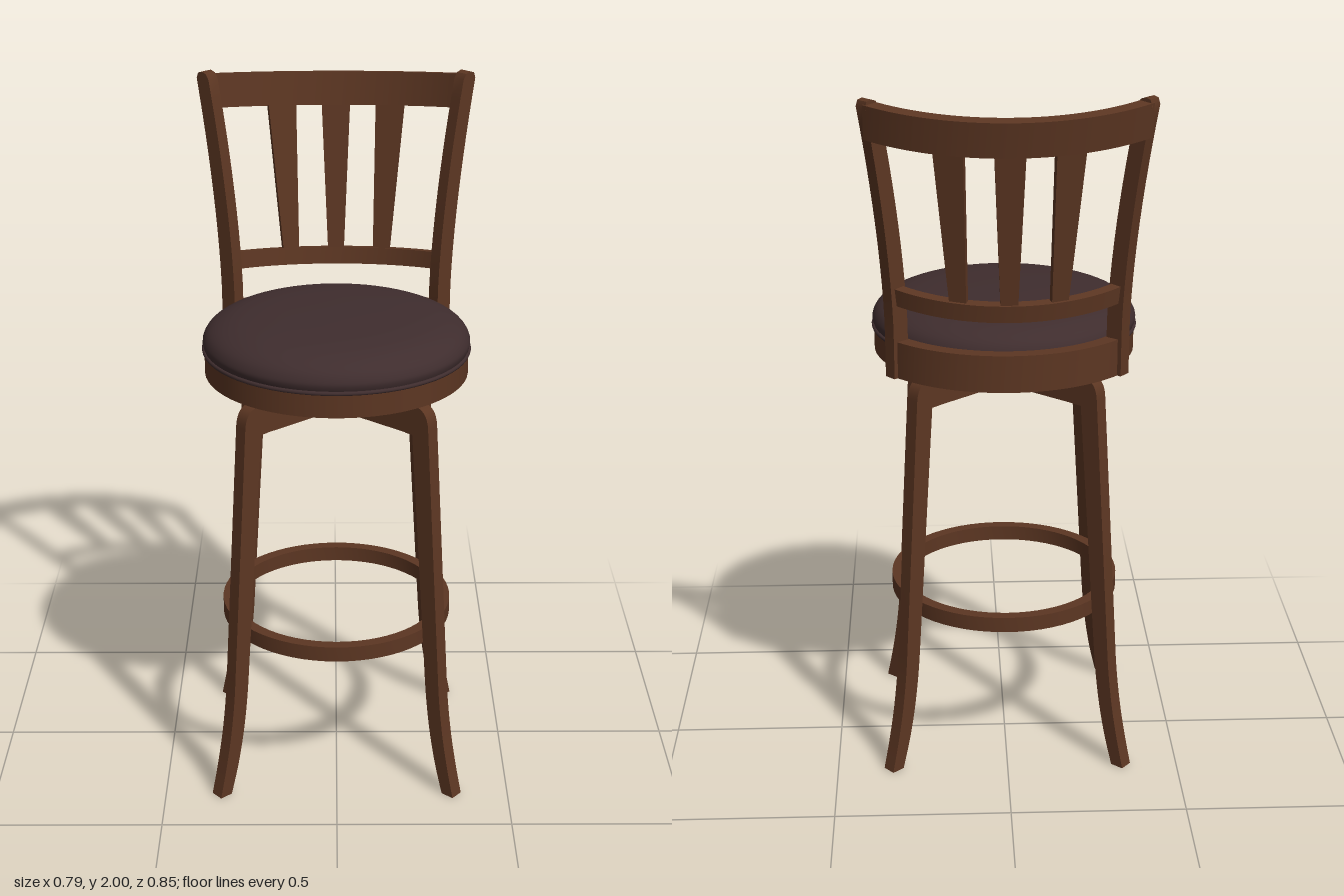
import * as THREE from 'three';
import { toCreasedNormals } from 'three/addons/utils/BufferGeometryUtils.js';

const CZ = 0.047;                 // z of the seat and leg axis
const ANG = 41 * Math.PI / 180;   // angle of legs and posts from the x axis

export function createModel() {
  const wood = new THREE.MeshStandardMaterial({ color: 0x5c3622 });
  wood.name = 'brown wood';
  const leather = new THREE.MeshStandardMaterial({ color: 0x3f2d2e });
  leather.name = 'dark leather';

  const model = new THREE.Group();
  model.name = 'swivelStool';
  const axis = new THREE.Group();   // parts centred on the swivel axis
  axis.name = 'axisParts';
  axis.position.z = CZ;
  model.add(axis);

  const add = (parent, name, geo, mat = wood) => {
    const m = new THREE.Mesh(geo, mat);
    m.name = name;
    parent.add(m);
    return m;
  };
  const v2 = pts => pts.map(p => new THREE.Vector2(p[0], p[1]));

  // Board cut in a radial plane: x is the distance from the axis
  const board = (shape, width) => {
    const g = new THREE.ExtrudeGeometry(shape, { depth: width, bevelEnabled: false, curveSegments: 8 });
    g.translate(0, 0, -width / 2);
    return toCreasedNormals(g, 0.6);
  };

  // Legs: flared foot, straight shank, rounded shoulder
  const leg = new THREE.Shape();
  leg.moveTo(0.425, 0);
  leg.lineTo(0.465, 0);
  leg.splineThru(v2([[0.443, 0.09], [0.423, 0.19], [0.408, 0.3], [0.4, 0.4]]));
  leg.lineTo(0.348, 1.135);
  leg.quadraticCurveTo(0.344, 1.192, 0.295, 1.192);
  leg.lineTo(0.27, 1.192);
  leg.lineTo(0.27, 1.105);
  leg.lineTo(0.293, 1.105);
  leg.lineTo(0.35, 0.41);
  leg.splineThru(v2([[0.36, 0.3], [0.376, 0.19], [0.398, 0.09], [0.425, 0]]));
  const legGeo = board(leg, 0.04);
  const angles = [ANG, Math.PI - ANG, Math.PI + ANG, -ANG];
  const legNames = ['backLeftLeg', 'backRightLeg', 'frontRightLeg', 'frontLeftLeg'];
  angles.forEach((a, i) => { add(axis, legNames[i], legGeo).rotation.y = a; });

  // Crossed bars joining the leg tops
  for (const s of [1, -1]) {
    const bar = add(axis, 'crossBar', new THREE.BoxGeometry(0.56, 0.085, 0.038));
    bar.position.y = 1.148;
    bar.rotation.y = s * ANG;
  }

  // Foot ring with a rectangular section
  const ring = v2([[0.302, 0.465], [0.335, 0.465], [0.335, 0.51], [0.302, 0.51], [0.302, 0.465]]);
  add(axis, 'footRing', toCreasedNormals(new THREE.LatheGeometry(ring, 64), 0.6));

  // Swivel pin, seat base, cushion and welt
  add(axis, 'swivelPin', new THREE.CylinderGeometry(0.014, 0.014, 0.05, 16)).position.y = 1.207;
  add(axis, 'seatBase', new THREE.CylinderGeometry(0.371, 0.371, 0.064, 64)).position.y = 1.254;
  const cushion = new THREE.SplineCurve(v2([[0.366, 1.285], [0.374, 1.305], [0.374, 1.322], [0.36, 1.345],
    [0.33, 1.364], [0.28, 1.379], [0.2, 1.388], [0.1, 1.391], [0, 1.392]])).getPoints(32);
  cushion[32].x = 0;
  add(axis, 'cushion', new THREE.LatheGeometry(cushion, 64), leather);
  const welt = add(axis, 'cushionWelt', new THREE.TorusGeometry(0.372, 0.006, 8, 64), leather);
  welt.rotation.x = Math.PI / 2;
  welt.position.y = 1.292;

  // Back posts: upright at the seat, sweeping outward to a rounded top
  const inner = [], outer = [];
  for (let i = 0; i <= 14; i++) {
    const y = 1.222 + 0.758 * i / 14;
    const sweep = Math.pow(Math.max(0, (y - 1.35) / 0.65), 1.6);
    outer.push([0.426 + 0.084 * sweep, y]);
    inner.push([0.376 + 0.088 * sweep, y]);
  }
  const post = new THREE.Shape(v2([...outer, [0.5, 1.996], [0.485, 2], [0.47, 1.995], ...inner.reverse()]));
  const postGeo = board(post, 0.037);
  add(axis, 'leftPost', postGeo).rotation.y = ANG;
  add(axis, 'rightPost', postGeo).rotation.y = Math.PI - ANG;

  // Curved bar bowed towards the back; lean tips it backwards
  const curvedBar = (half, zEnd, zMid, y, height, thick, lean) => {
    const sag = zEnd - zMid;
    const R = (half * half + sag * sag) / (2 * sag);
    const A = Math.asin(half / R);
    const g = new THREE.BoxGeometry(2 * half, height, thick, 32, 1, 1);
    const p = g.attributes.position;
    for (let i = 0; i < p.count; i++) {
      const a = p.getX(i) / half * A, r = R - p.getZ(i), h = p.getY(i);
      const z = zMid + R - r * Math.cos(a);
      p.setXYZ(i, r * Math.sin(a), y + h + lean * (z - zMid), z - lean * h);
    }
    return toCreasedNormals(g, 0.6);
  };
  add(model, 'seatBackApron', curvedBar(0.295, -0.212, -0.344, 1.274, 0.104, 0.044, 0));
  add(model, 'topRail', curvedBar(0.365, -0.271, -0.401, 1.922, 0.094, 0.038, 0.16));
  add(model, 'lowerRail', curvedBar(0.305, -0.218, -0.333, 1.438, 0.048, 0.03, 0.16));

  // Three splats, wider at the top and following the rails
  const slats = [['rightSlat', -1], ['centreSlat', 0], ['leftSlat', 1]];
  for (const [name, s] of slats) {
    const g = new THREE.BoxGeometry(1, 1, 0.018);
    const p = g.attributes.position;
    const turn = -s * 0.31;
    for (let i = 0; i < p.count; i++) {
      const top = p.getY(i) > 0;
      const u = p.getX(i) * (top ? 0.084 : 0.046), w = p.getZ(i);
      const cx = s * (top ? 0.158 : 0.133);
      const cz = top ? -0.396 + Math.abs(s) * 0.024 : -0.335 + Math.abs(s) * 0.023;
      p.setXYZ(i, cx + u * Math.cos(turn) + w * Math.sin(turn), top ? 1.9 : 1.445,
        cz - u * Math.sin(turn) + w * Math.cos(turn));
    }
    add(model, name, toCreasedNormals(g, 0.5));
  }
  return model;
}
